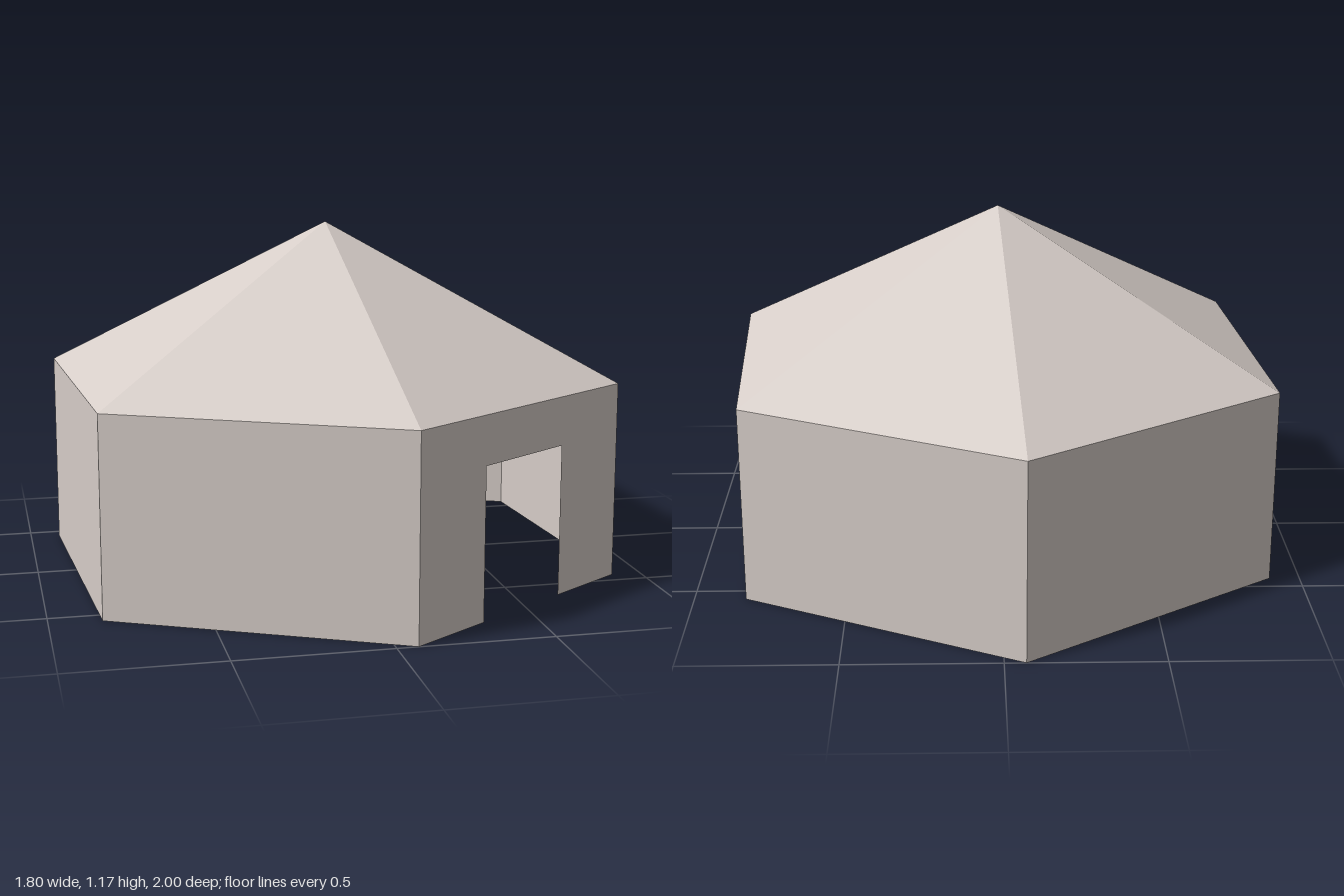
import * as THREE from 'three';

const SIDES = 6;
const RADIUS = 1.002;
const EAVE = 0.66;
const PEAK = 1.175;
const TURN = THREE.MathUtils.degToRad(3.9);

// Flat wall panel standing on y = 0, with an optional doorway cut from its foot
function wallGeometry(width, height, door) {
  const w = width / 2;
  const shape = new THREE.Shape();
  shape.moveTo(-w, 0);
  if (door) {
    const d = door.width / 2;
    shape.lineTo(-d, 0);
    shape.lineTo(-d, door.height);
    shape.lineTo(d, door.height);
    shape.lineTo(d, 0);
  }
  shape.lineTo(w, 0);
  shape.lineTo(w, height);
  shape.lineTo(-w, height);
  shape.closePath();
  return new THREE.ShapeGeometry(shape);
}

export function createModel() {
  const model = new THREE.Group();
  model.name = 'hexagonalHut';

  const canvas = new THREE.MeshStandardMaterial({ color: 0xd6cdc8, side: THREE.DoubleSide });
  canvas.name = 'paleCanvas';

  // Six single-skin walls, the first one holding the doorway
  const step = (Math.PI * 2) / SIDES;
  const width = 2 * RADIUS * Math.sin(step / 2);
  const apothem = RADIUS * Math.cos(step / 2);
  const walls = new THREE.Group();
  walls.name = 'walls';
  for (let i = 0; i < SIDES; i++) {
    const door = i === 0 ? { width: 0.385, height: 0.5 } : null;
    const wall = new THREE.Mesh(wallGeometry(width, EAVE, door), canvas);
    const angle = TURN + step * (i + 0.5);
    wall.name = door ? 'doorWall' : `wall${i}`;
    wall.position.set(Math.sin(angle) * apothem, 0, Math.cos(angle) * apothem);
    wall.rotation.y = angle;
    walls.add(wall);
  }
  model.add(walls);

  // Open faceted roof, flush with the walls
  const cone = new THREE.ConeGeometry(RADIUS, PEAK - EAVE, SIDES, 1, true).toNonIndexed();
  cone.computeVertexNormals();
  const roof = new THREE.Mesh(cone, canvas);
  roof.name = 'roof';
  roof.position.y = (PEAK + EAVE) / 2;
  roof.rotation.y = TURN;
  model.add(roof);

  return model;
}
